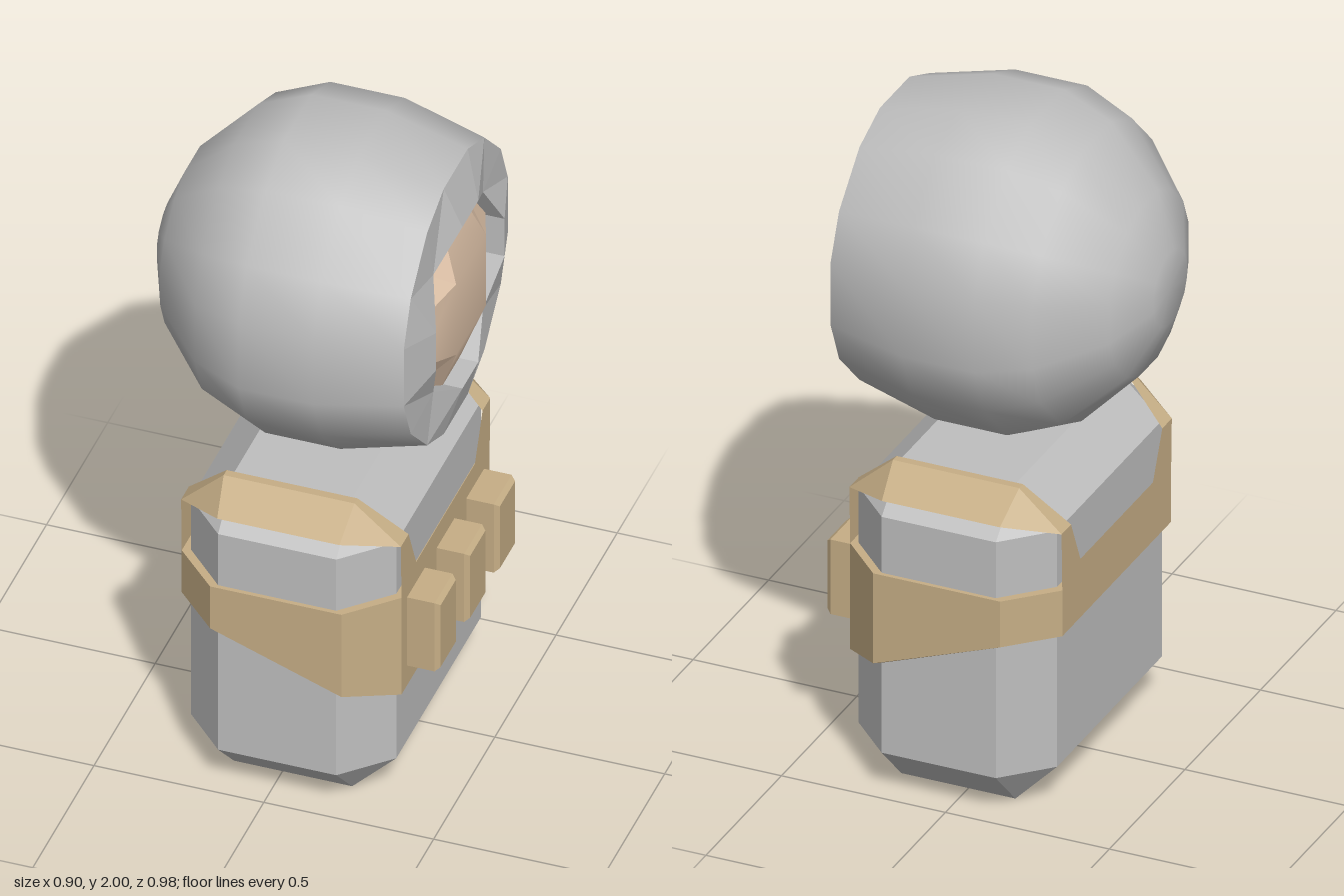
import * as THREE from 'three';
import { mergeVertices } from 'three/addons/utils/BufferGeometryUtils.js';

const V = (x, y, z) => new THREE.Vector3(x, y, z);

// Flat polygons, each turned to face away from the centre point.
function faces(polys, centre) {
  const pos = [];
  for (let p of polys) {
    const n = V(0, 0, 0).crossVectors(p[1].clone().sub(p[0]), p[2].clone().sub(p[0]));
    if (n.dot(p[0].clone().sub(centre)) < 0) p = [...p].reverse();
    for (let i = 1; i < p.length - 1; i++) pos.push(...p[0], ...p[i], ...p[i + 1]);
  }
  const g = new THREE.BufferGeometry();
  g.setAttribute('position', new THREE.Float32BufferAttribute(pos, 3));
  g.computeVertexNormals();
  return g;
}

// Surface through closed rings of equal point count.
function loft(rings, smooth) {
  const n = rings[0].length, index = [];
  for (let k = 0; k < rings.length - 1; k++) {
    for (let i = 0; i < n; i++) {
      const j = (i + 1) % n, a = k * n, b = a + n;
      index.push(a + i, a + j, b + j, a + i, b + j, b + i);
    }
  }
  let g = new THREE.BufferGeometry();
  g.setAttribute('position', new THREE.Float32BufferAttribute(rings.flat().flatMap(v => [...v]), 3));
  g.setIndex(index);
  g = smooth ? mergeVertices(g) : g.toNonIndexed();
  g.computeVertexNormals();
  return g;
}

// Quads joining two rings of points, in polygon form.
const bridge = (a, b) => a.map((p, i) => {
  const j = (i + 1) % a.length;
  return [p, a[j], b[j], b[i]];
});

export function createModel() {
  const model = new THREE.Group();
  const material = (name, color, side = THREE.FrontSide) => {
    const m = new THREE.MeshStandardMaterial({ color, side });
    m.name = name;
    return m;
  };
  const grey = material('suitGrey', 0xbfbfbf);
  const tan = material('vestTan', 0xc6ae86, THREE.DoubleSide);
  const skin = material('skin', 0xdec2a8);
  const add = (name, geometry, mat) => {
    const mesh = new THREE.Mesh(geometry, mat);
    mesh.name = name;
    model.add(mesh);
    return mesh;
  };

  // Helmet shell: 16-sided rings around the x axis
  const headY = 1.515;
  const angles = [];
  for (let q = 0; q < 4; q++) for (const d of [13, 32.4, 57.6, 77]) angles.push(THREE.MathUtils.degToRad(d + q * 90));
  const ringPoint = (x, r, a) => V(x, headY + r * Math.cos(a), r * Math.sin(a));
  const ring = (x, r) => angles.map(a => ringPoint(x, r, a));
  const profile = [[-0.455, 0], [-0.455, 0.113], [-0.39, 0.27], [-0.23, 0.436],
    [-0.08, 0.497], [0.14, 0.497], [0.385, 0.436]];
  add('helmet', loft(profile.map(([x, r]) => ring(x, r)), true), grey);

  // Helmet rim: wavy inner edge, then a wall going inwards
  const innerEdge = x => angles.map((a, i) => {
    const diagonal = i % 4 === 1 || i % 4 === 2;
    const q = Math.floor(i / 4) * Math.PI / 2;
    return ringPoint(x ?? (diagonal ? 0.392 : 0.428), 0.287, diagonal ? q + Math.PI / 4 : a);
  });
  add('helmetRim', loft([ring(0.385, 0.436), innerEdge(), innerEdge(0.3)], false), grey);

  // Face: rounded cross with four bevelled corners
  const turn = (x, y, z, q) => {
    const c = [1, 0, -1, 0][q], s = [0, 1, 0, -1][q];
    return V(x, headY + y * c - z * s, y * s + z * c);
  };
  const cross = [[0, 1, 2, 3].map(q => turn(0.43, 0.122, 0.122, q))];
  const bevels = [];
  for (let q = 0; q < 4; q++) {
    const corner = turn(0.43, 0.122, 0.122, q), next = turn(0.43, 0.122, -0.122, q);
    const armA = turn(0.37, 0.283, 0.075, q), armB = turn(0.37, 0.283, -0.075, q);
    const armC = turn(0.37, 0.075, 0.283, q);
    cross.push([corner, armA, armB, next]);
    bevels.push([corner, armA, turn(0.33, 0.205, 0.205, q)], [corner, turn(0.33, 0.205, 0.205, q), armC]);
  }
  const headCentre = V(-0.5, headY, 0);
  const crossGeometry = faces(cross, headCentre);
  crossGeometry.deleteAttribute('normal');
  const smoothCross = mergeVertices(crossGeometry);
  smoothCross.computeVertexNormals();
  add('face', smoothCross, skin);
  add('faceBevels', faces(bevels, headCentre), skin);

  // Body: box with all edges chamfered
  const bodyCentre = V(0.03, 0.5, 0);
  const octagon = (y, x0, x1, c0, c1, z, cz) => [
    V(x1, y, cz), V(c1, y, z), V(c0, y, z), V(x0, y, cz),
    V(x0, y, -cz), V(c0, y, -z), V(c1, y, -z), V(x1, y, -cz)];
  const low = octagon(0.13, -0.27, 0.335, -0.143, 0.205, 0.477, 0.347);
  const high = low.map(p => V(p.x, 0.877, p.z));
  const capRect = y => [[0.205, 1], [0.205, 1], [-0.143, 1], [-0.143, 1],
    [-0.143, -1], [-0.143, -1], [0.205, -1], [0.205, -1]].map(([x, s]) => V(x, y, s * 0.347));
  const bottom = capRect(0), top = capRect(0.997);
  const chamfer = (edge, cap) => edge.map((p, i) => {
    const j = (i + 1) % 8;
    return cap[i].equals(cap[j]) ? [p, edge[j], cap[i]] : [p, edge[j], cap[j], cap[i]];
  });
  const rect = cap => [cap[0], cap[2], cap[4], cap[6]];
  add('body', faces([...bridge(low, high), ...chamfer(low, bottom), ...chamfer(high, top),
    rect(bottom), rect(top)], bodyCentre), grey);

  // Vest band: wraps the body, dropping towards the chest
  const bandTop = octagon(0.7, -0.292, 0.355, -0.162, 0.225, 0.49, 0.36);
  const drop = [0.365, 0.415, 0.555, 0.555, 0.555, 0.555, 0.415, 0.365];
  const bandLow = bandTop.map((p, i) => V(p.x, drop[i], p.z));
  const bodyRing = bandTop.map((p, i) => V(low[i].x, 0.7, low[i].z));
  const bodyRingLow = bodyRing.map((p, i) => V(p.x, drop[i], p.z));
  add('vestBand', faces([...bridge(bandLow, bandTop), ...bridge(bandTop, bodyRing),
    ...bridge(bandLow, bodyRingLow)], bodyCentre), tan);

  // Vest panels on chest and back, rising at both sides to the shoulder straps
  const vest = [];
  for (const [x, xTop, xStrap] of [[0.355, 0.22, 0.21], [-0.292, -0.165, -0.15]]) {
    vest.push([V(x, 0.7, -0.36), V(x, 0.7, 0.36), V(x, 0.74, 0.24), V(x, 0.74, -0.24)]);
    for (const s of [1, -1]) {
      vest.push([V(x, 0.7, s * 0.36), V(x, 0.88, s * 0.365), V(x, 0.88, s * 0.302), V(x, 0.74, s * 0.24)]);
      vest.push([V(x, 0.88, s * 0.365), V(xTop, 1, s * 0.37), V(xTop, 1, s * 0.345), V(x, 0.88, s * 0.302)]);
      vest.push([V(x, 0.88, s * 0.365), V(xStrap, 0.92, s * 0.465), V(xTop, 1, s * 0.37)]);
    }
  }
  for (const s of [1, -1]) {
    vest.push([V(0.21, 0.92, s * 0.465), V(-0.15, 0.92, s * 0.465), V(-0.165, 1, s * 0.37), V(0.22, 1, s * 0.37)]);
    vest.push([V(0.22, 1, s * 0.37), V(-0.165, 1, s * 0.37), V(-0.165, 1, s * 0.345), V(0.22, 1, s * 0.345)]);
  }
  add('vestPanelsAndStraps', faces(vest, bodyCentre), tan);

  // Three chest pouches with a bevelled front
  const pouchRing = (x, w, h) => [V(x, -h, -w), V(x, -h, w), V(x, h, w), V(x, h, -w)];
  const back = pouchRing(0.35, 0.073, 0.118), mid = pouchRing(0.436, 0.073, 0.118);
  const front = pouchRing(0.45, 0.062, 0.107);
  const pouch = faces([...bridge(back, mid), ...bridge(mid, front), front], V(0.39, 0, 0));
  for (const z of [-0.242, 0, 0.242]) add('pouch', pouch, tan).position.set(0, 0.552, z);

  return model;
}
